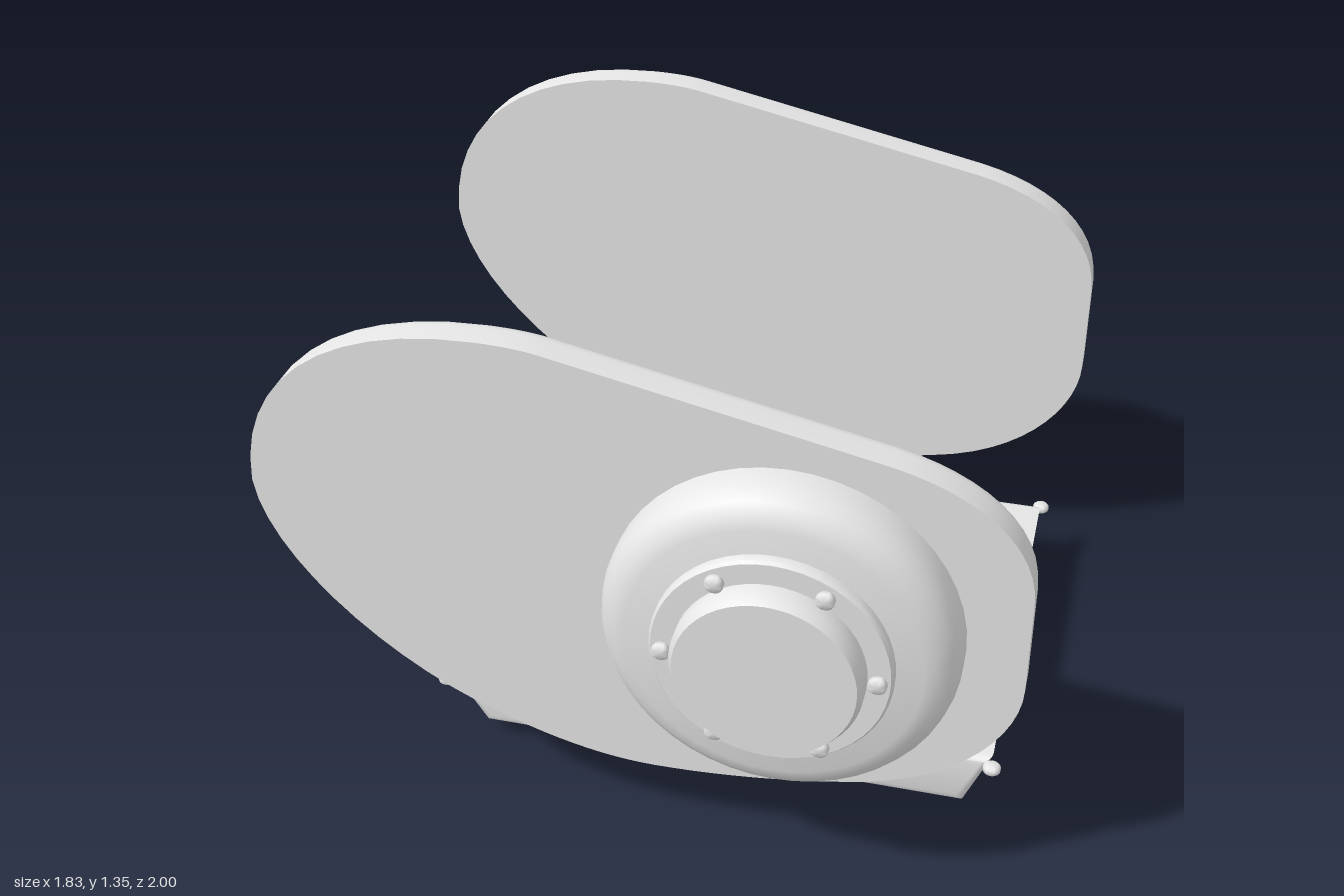
import * as THREE from 'three';
import { toCreasedNormals } from 'three/addons/utils/BufferGeometryUtils.js';

const HUB_X = 0.362, HUB_Y = 0.716;

// Egg-shaped outline of the side covers, counter-clockwise
function coverOutline() {
  const s = new THREE.Shape();
  s.moveTo(0.915, 0.86);
  s.bezierCurveTo(0.915, 1.02, 0.78, 1.13, 0.58, 1.175);
  s.lineTo(-0.19, 1.336);
  s.bezierCurveTo(-0.24, 1.346, -0.29, 1.348, -0.34, 1.348);
  s.bezierCurveTo(-0.7, 1.348, -0.917, 1.17, -0.917, 0.89);
  s.bezierCurveTo(-0.9, 0.68, -0.65, 0.43, -0.4, 0.315);
  s.bezierCurveTo(-0.22, 0.235, -0.08, 0.203, 0.05, 0.203);
  s.bezierCurveTo(0.25, 0.203, 0.45, 0.235, 0.58, 0.268);
  s.bezierCurveTo(0.8, 0.33, 0.915, 0.49, 0.915, 0.62);
  const pts = s.getPoints(12);
  if (pts[0].distanceTo(pts[pts.length - 1]) < 1e-6) pts.pop();
  return pts;
}

// Plate with a rounded back edge and a sharp front edge
function coverGeometry(depth, radius) {
  const outline = coverOutline();
  const n = outline.length;
  const normals = outline.map((p, i) => {
    const t = outline[(i + 1) % n].clone().sub(outline[(i + n - 1) % n]).normalize();
    return new THREE.Vector2(t.y, -t.x);
  });
  const rings = [];
  const steps = 5;
  for (let k = 0; k <= steps; k++) {
    const a = (k / steps) * Math.PI / 2;
    rings.push({ inset: radius * (1 - Math.sin(a)), z: radius * (1 - Math.cos(a)) });
  }
  rings.push({ inset: 0, z: depth });

  const pos = [], index = [];
  rings.forEach(({ inset, z }) => outline.forEach((p, i) =>
    pos.push(p.x - normals[i].x * inset, p.y - normals[i].y * inset, z)));
  for (let r = 0; r < rings.length - 1; r++) {
    for (let i = 0; i < n; i++) {
      const j = (i + 1) % n, b = r * n, f = b + n;
      index.push(b + i, b + j, f + j, b + i, f + j, f + i);
    }
  }
  const last = (rings.length - 1) * n;
  for (const [a, b, c] of THREE.ShapeUtils.triangulateShape(outline, [])) {
    index.push(last + a, last + b, last + c, c, b, a);
  }
  const g = new THREE.BufferGeometry();
  g.setAttribute('position', new THREE.Float32BufferAttribute(pos, 3));
  g.setIndex(index);
  return toCreasedNormals(g, 0.7);
}

// Turned part along z: profile of [radius, distance], dir +1 forward or -1 backward
function turned(profile, dir, crease = 0.65, sides = 48) {
  const g = new THREE.LatheGeometry(profile.map(([r, h]) => new THREE.Vector2(r, h)), sides);
  g.rotateX(dir * Math.PI / 2);
  return toCreasedNormals(g, crease);
}

// Tray with sloping ends and softened long edges
function panGeometry() {
  const s = new THREE.Shape();
  s.moveTo(-0.468, 0.043);
  s.lineTo(0.783, 0.043);
  s.lineTo(0.847, 0.2);
  s.lineTo(-0.563, 0.2);
  s.closePath();
  const bevel = 0.025;
  const g = new THREE.ExtrudeGeometry(s, {
    depth: 1.105 - 2 * bevel, bevelThickness: bevel, bevelSize: bevel,
    bevelOffset: -bevel, bevelSegments: 4,
  });
  g.translate(0, 0, bevel - 0.5525);
  return toCreasedNormals(g, 0.6);
}

export function createModel() {
  const model = new THREE.Group();
  const metal = new THREE.MeshStandardMaterial({ color: 0xe7e7e7 });
  metal.name = 'light grey metal';

  const add = (name, geometry, x, y, z) => {
    const mesh = new THREE.Mesh(geometry, metal);
    mesh.name = name;
    mesh.position.set(x, y, z);
    model.add(mesh);
  };

  // Side covers
  const cover = coverGeometry(0.11, 0.045);
  add('frontCover', cover, 0, 0, 0.67);
  add('rearCover', cover, 0, 0, -0.75);

  // Front housing, flange and cap
  add('frontHousing', turned([
    [0.415, 0], [0.415, 0.05], [0.408, 0.078], [0.395, 0.1],
    [0.37, 0.12], [0.34, 0.13], [0, 0.13]], 1), HUB_X, HUB_Y, 0.78);
  add('frontFlange', turned([
    [0.278, 0], [0.278, 0.022], [0.272, 0.03], [0, 0.03]], 1), HUB_X, HUB_Y, 0.908);
  add('frontCap', turned([
    [0.22, 0], [0.22, 0.04], [0.208, 0.062], [0, 0.062]], 1), HUB_X, HUB_Y, 0.938);

  // Ring of flange bolts
  const head = [[0, 0], [0.016, 0], [0.022, 0.006], [0.022, 0.017], [0.016, 0.023], [0, 0.023]];
  const bolt = turned(head, 1, 0.9, 16);
  for (let i = 0; i < 6; i++) {
    const a = i * Math.PI / 3;
    add('flangeBolt', bolt, HUB_X + 0.244 * Math.cos(a), HUB_Y + 0.244 * Math.sin(a), 0.94);
  }

  // Rear dome with its hub
  add('rearDome', turned([
    [0.38, 0], [0.377, 0.05], [0.355, 0.09], [0.31, 0.138], [0.205, 0.198],
    [0.13, 0.22], [0, 0.225]], -1, 0.9), HUB_X, HUB_Y, -0.75);
  add('rearHub', turned([
    [0.081, 0], [0.081, 0.034], [0.075, 0.04], [0, 0.04]], -1), HUB_X, HUB_Y, -0.96);

  // Pan with screws along both long edges
  add('pan', panGeometry(), 0, 0, 0.012);
  const screw = turned(head, 1, 0.9, 16).rotateX(-Math.PI / 2);
  for (let i = 0; i < 6; i++) {
    for (const z of [-0.55, 0.574]) add('panScrew', screw, -0.562 + i * 0.282, 0.172, z);
  }

  // Hexagonal drain plug
  const plug = new THREE.CylinderGeometry(0.049, 0.049, 0.05, 6).rotateY(Math.PI / 2);
  add('drainPlug', toCreasedNormals(plug, 0.3), 0.142, 0.025, 0.015);

  return model;
}
